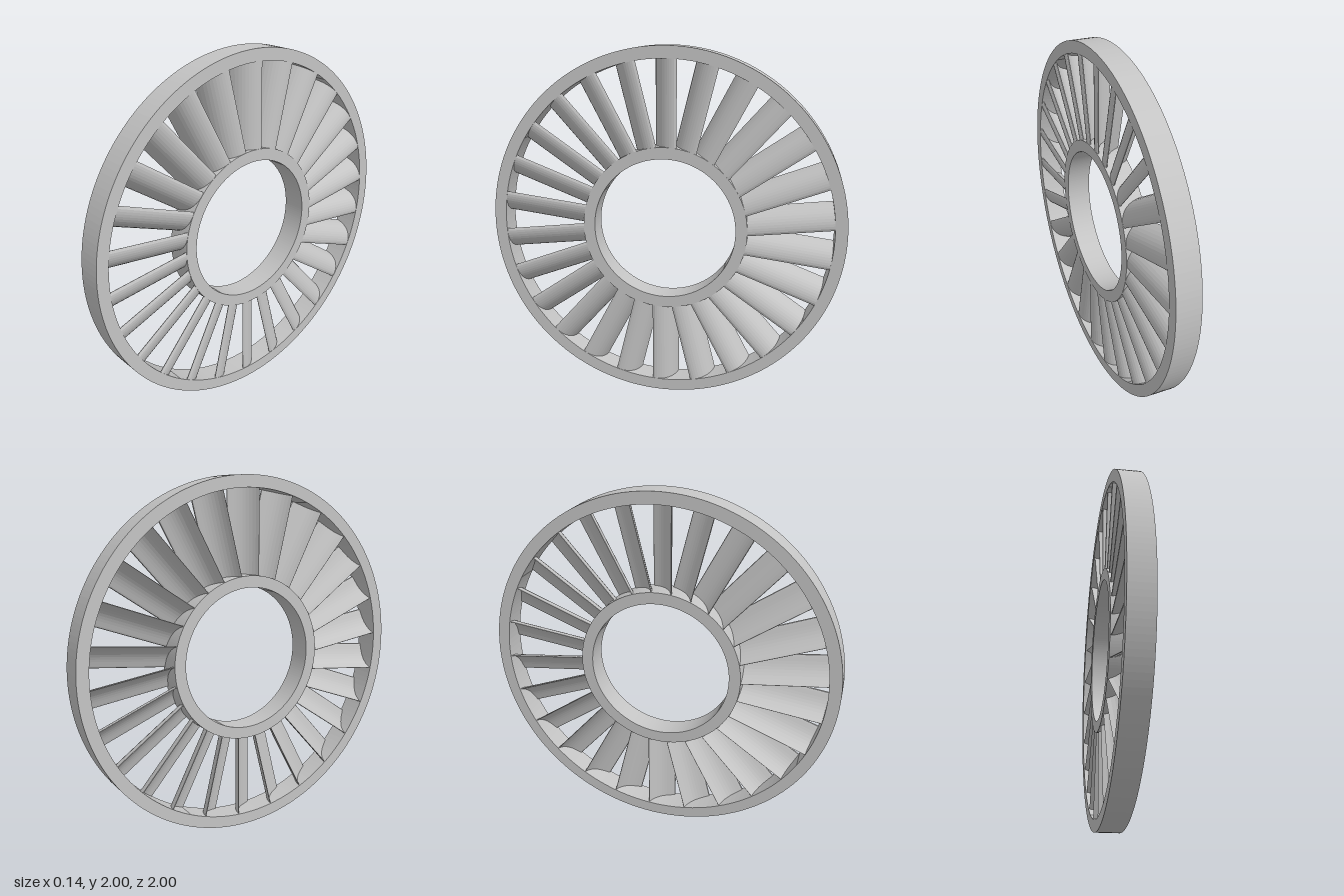
import * as THREE from 'three';

const BLADES = 26;
const WIDTH = 0.135;

// Flat ring around the x axis
function ring(name, outer, inner, material) {
  const shape = new THREE.Shape().absarc(0, 0, outer, 0, Math.PI * 2, false);
  shape.holes.push(new THREE.Path().absarc(0, 0, inner, 0, Math.PI * 2, true));
  const geo = new THREE.ExtrudeGeometry(shape, { depth: WIDTH, bevelEnabled: false, curveSegments: 96 });
  geo.translate(0, 0, -WIDTH / 2).rotateY(Math.PI / 2);
  const mesh = new THREE.Mesh(geo, material);
  mesh.name = name;
  return mesh;
}

// Cambered airfoil section (tangential, axial), extruded along the radius
function bladeGeometry() {
  const start = new THREE.Vector2(-0.067, 0.061);
  const end = new THREE.Vector2(0.067, -0.061);
  const normal = new THREE.Vector2(0.673, 0.739);
  const steps = 12;
  const upper = [], lower = [];
  for (let i = 0; i <= steps; i++) {
    const s = (i / steps) ** 1.4;
    const camber = 0.128 * s * (1 - s);
    const half = 0.002 + 0.045 * (Math.sqrt(s) - s);
    const base = start.clone().lerp(end, s);
    upper.push(base.clone().addScaledVector(normal, camber + half));
    lower.push(base.clone().addScaledVector(normal, camber - half));
  }
  const shape = new THREE.Shape([...upper, ...lower.reverse()]);
  const geo = new THREE.ExtrudeGeometry(shape, { depth: 0.5, bevelEnabled: false });
  geo.translate(0, 0, 0.45);
  // tangential -> z, axial -> x, radial -> y
  return geo.applyMatrix4(new THREE.Matrix4().makeBasis(
    new THREE.Vector3(0, 0, 1), new THREE.Vector3(1, 0, 0), new THREE.Vector3(0, 1, 0)));
}

export function createModel() {
  const metal = new THREE.MeshStandardMaterial({ color: 0xc4c4c4 });
  metal.name = 'grey metal';

  const model = new THREE.Group();
  model.name = 'vaneRing';
  model.add(ring('outerRing', 1, 0.933, metal), ring('innerRing', 0.465, 0.4, metal));

  // Vanes spaced evenly between the rings
  const vanes = new THREE.Group();
  vanes.name = 'vanes';
  const geo = bladeGeometry();
  for (let i = 0; i < BLADES; i++) {
    const vane = new THREE.Mesh(geo, metal);
    vane.name = 'vane' + (i + 1);
    vane.rotation.x = (i / BLADES) * Math.PI * 2;
    vanes.add(vane);
  }
  model.add(vanes);
  model.position.y = 1;
  return model;
}
